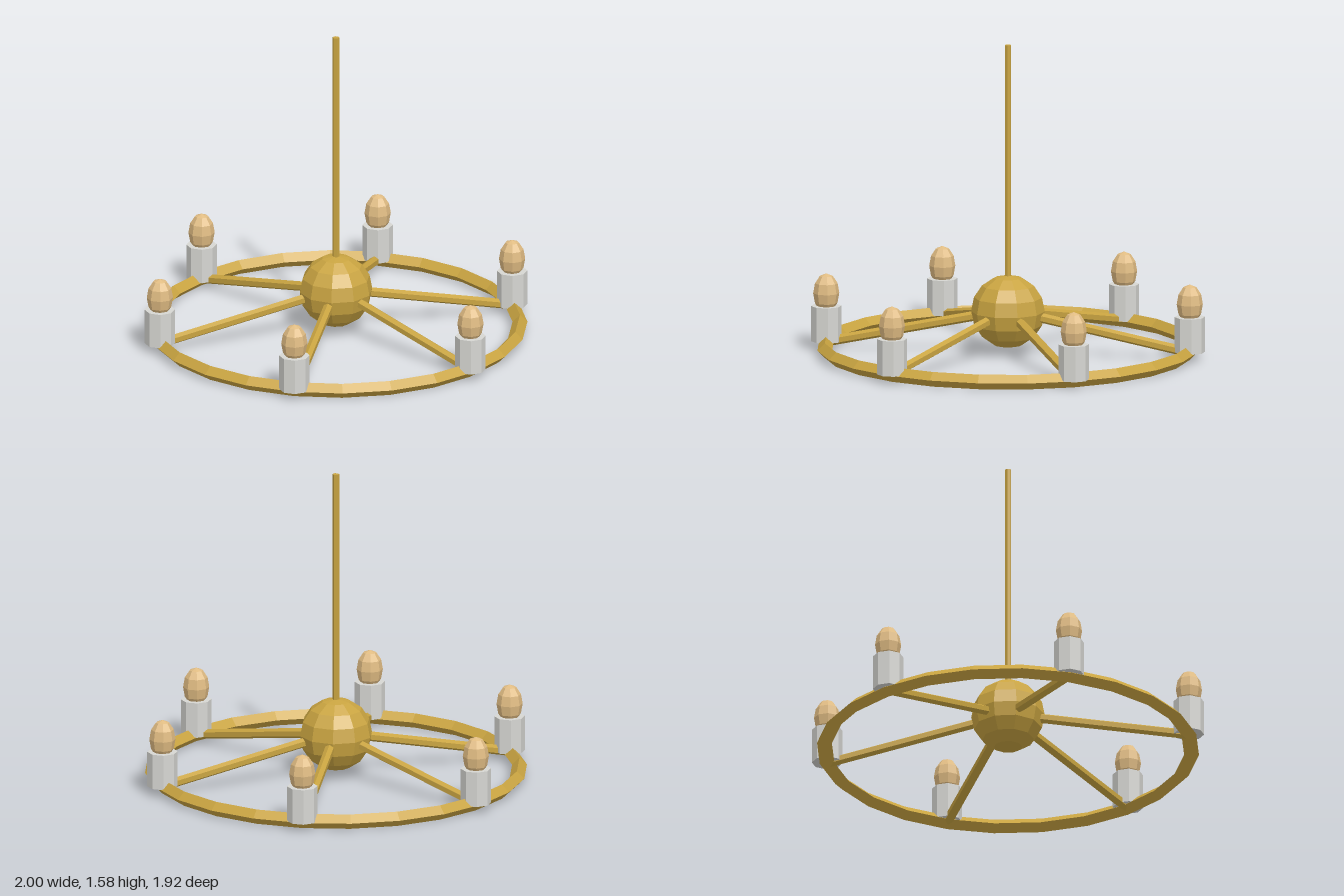
import * as THREE from 'three';

const flat = (name, color) => {
  const m = new THREE.MeshStandardMaterial({ color, flatShading: true });
  m.name = name;
  return m;
};

export function createModel() {
  const brass = flat('brass', 0xc9a441);
  const porcelain = flat('pale grey', 0xd6d6d2);
  const glass = flat('warm glass', 0xdfbb82);

  const R = 0.923, TUBE = 0.0375, ARMS = 6;
  const model = new THREE.Group();
  model.name = 'chandelier';

  const add = (parent, name, geometry, material, x = 0, y = 0, z = 0) => {
    const mesh = new THREE.Mesh(geometry, material);
    mesh.name = name;
    mesh.position.set(x, y, z);
    parent.add(mesh);
    return mesh;
  };

  // Ring with a diamond cross-section
  const ringGeometry = new THREE.TorusGeometry(R, TUBE, 4, 24).rotateX(-Math.PI / 2);
  add(model, 'ring', ringGeometry, brass, 0, TUBE, 0);

  // Hub and hanging rod
  const hubGeometry = new THREE.SphereGeometry(0.185, 10, 8).rotateY(Math.PI / 2);
  add(model, 'hub', hubGeometry, brass, 0, 0.22, 0);
  add(model, 'hangingRod', new THREE.CylinderGeometry(0.017, 0.017, 1.2, 6), brass, 0, 0.98, 0);

  // Arm geometry slopes from inside the hub down to the ring, one ridge upward
  const start = new THREE.Vector2(0.08, 0.21);
  const end = new THREE.Vector2(R, TUBE);
  const span = end.clone().sub(start);
  const armGeometry = new THREE.CylinderGeometry(0.025, 0.025, span.length(), 6)
    .rotateY(Math.PI / 2)
    .rotateZ(span.angle() - Math.PI / 2)
    .translate((start.x + end.x) / 2, (start.y + end.y) / 2, 0);
  const cupGeometry = new THREE.CylinderGeometry(0.0765, 0.0765, 0.18, 8);
  const bulbGeometry = new THREE.SphereGeometry(0.066, 8, 6).scale(1, 1.52, 1);

  // Arms, each with a lamp holder and bulb
  for (let i = 0; i < ARMS; i++) {
    const angle = (i / ARMS) * Math.PI * 2;
    const x = Math.cos(angle) * R, z = -Math.sin(angle) * R;
    add(model, 'arm', armGeometry, brass).rotation.y = angle;
    const lamp = new THREE.Group();
    lamp.name = 'lamp';
    lamp.position.set(x, 0, z);
    add(lamp, 'lampHolder', cupGeometry, porcelain, 0, 0.13, 0);
    add(lamp, 'bulb', bulbGeometry, glass, 0, 0.285, 0);
    model.add(lamp);
  }
  return model;
}
